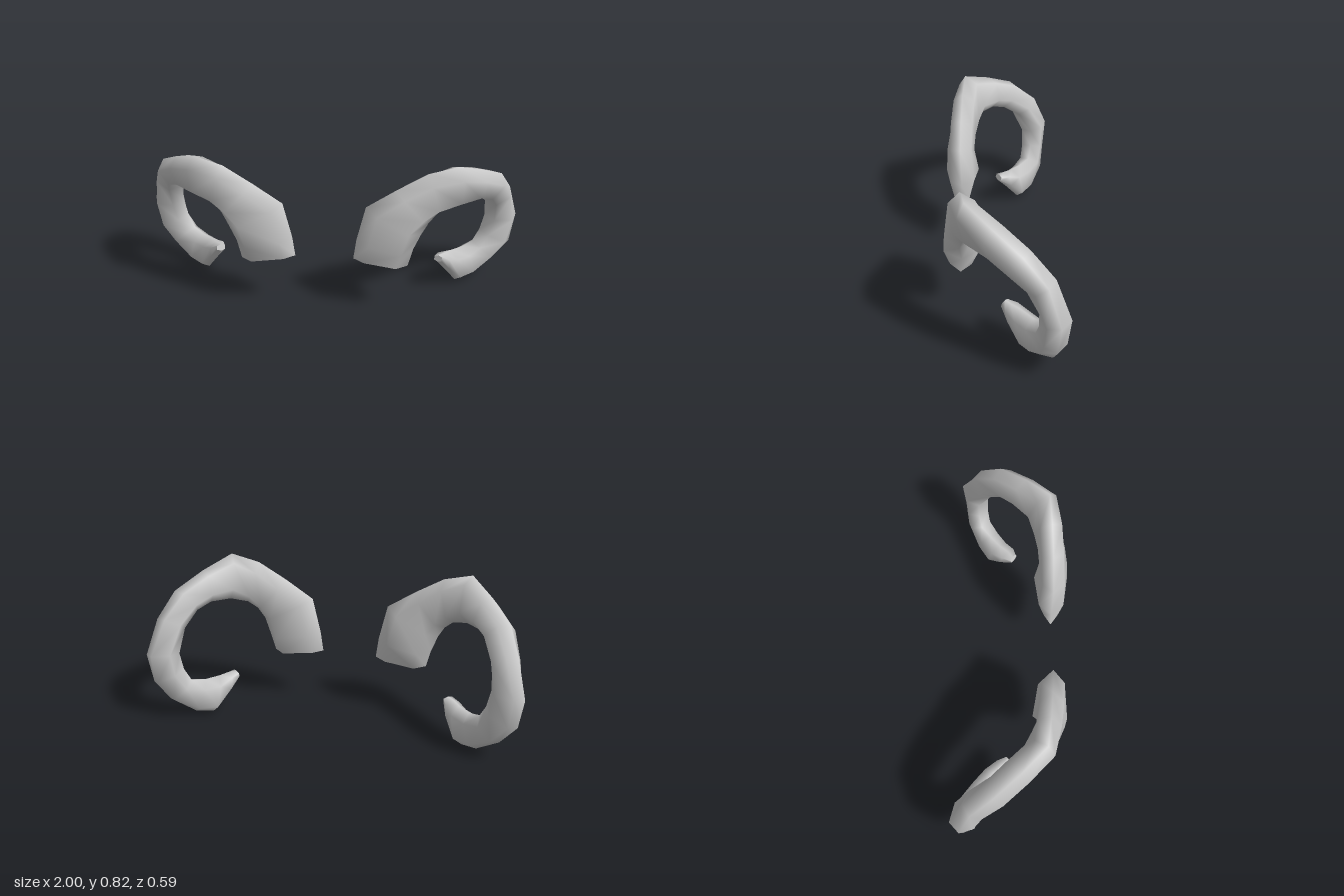
import * as THREE from 'three';

// Cross-sections from base to tip: outer ridge, inner ridge, half thickness
const SECTIONS = [
  [[0.15, 0.29, 0.205], [0.43, 0.265, 0.208], 0.055],
  [[0.165, 0.40, 0.205], [0.455, 0.36, 0.20], 0.09],
  [[0.21, 0.59, 0.21], [0.49, 0.45, 0.21], 0.075],
  [[0.36, 0.69, 0.205], [0.525, 0.51, 0.195], 0.072],
  [[0.51, 0.78, 0.195], [0.57, 0.555, 0.165], 0.07],
  [[0.66, 0.82, 0.18], [0.65, 0.585, 0.11], 0.068],
  [[0.78, 0.755, 0.055], [0.73, 0.59, 0.025], 0.068],
  [[0.89, 0.675, -0.08], [0.785, 0.56, -0.04], 0.066],
  [[0.95, 0.55, -0.19], [0.82, 0.49, -0.135], 0.062],
  [[1.0, 0.36, -0.25], [0.83, 0.37, -0.205], 0.062],
  [[0.975, 0.20, -0.237], [0.81, 0.28, -0.205], 0.056],
  [[0.89, 0.10, -0.225], [0.775, 0.21, -0.19], 0.056],
  [[0.77, 0.015, -0.17], [0.72, 0.20, -0.14], 0.056],
  [[0.69, 0.0, -0.12], [0.66, 0.205, -0.085], 0.054],
  [[0.625, 0.105, -0.055], [0.62, 0.21, -0.035], 0.045],
  [[0.588, 0.175, 0.0], [0.59, 0.21, -0.01], 0.024],
];
// Six-sided profile: along the width, along the thickness
const PROFILE = [[1, 0], [0.58, 1], [-0.58, 1], [-1, 0], [-0.58, -1], [0.58, -1]];

function hornRings(side) {
  const outer = SECTIONS.map((s) => new THREE.Vector3(...s[0]));
  const inner = SECTIONS.map((s) => new THREE.Vector3(...s[1]));
  const centres = outer.map((o, i) => o.clone().add(inner[i]).multiplyScalar(0.5));
  const last = centres.length - 1;
  return centres.map((c, i) => {
    const tangent = centres[Math.min(i + 1, last)].clone().sub(centres[Math.max(i - 1, 0)]);
    const half = outer[i].clone().sub(c);
    const across = tangent.cross(half).normalize().multiplyScalar(SECTIONS[i][2]);
    // The outer edge is thinner near the base
    const outerThickness = Math.min(1, 0.7 + i * 0.04);
    return PROFILE.map(([u, v]) => {
      const thickness = u > 0 ? v * outerThickness : v;
      const p = c.clone().addScaledVector(half, u).addScaledVector(across, thickness);
      p.x *= side;
      return p;
    });
  });
}

function makeGeometry(points, triangles, side) {
  const geometry = new THREE.BufferGeometry().setFromPoints(points);
  // The mirrored horn needs its corner order turned round
  geometry.setIndex(triangles.flatMap(([a, b, c]) => (side > 0 ? [a, b, c] : [a, c, b])));
  geometry.computeVertexNormals();
  return geometry;
}

function createHorn(side, name, material) {
  const horn = new THREE.Group();
  horn.name = name;
  const rings = hornRings(side);
  const n = PROFILE.length;

  // Curled body, open at the base
  const triangles = [];
  for (let i = 0; i < rings.length - 1; i++) {
    for (let j = 0; j < n; j++) {
      const a = i * n + j;
      const b = i * n + ((j + 1) % n);
      triangles.push([a, b, b + n], [a, b + n, a + n]);
    }
  }
  const body = new THREE.Mesh(makeGeometry(rings.flat(), triangles, side), material);
  body.name = 'hornBody';

  // Flat end of the blunt tip
  const fan = [];
  for (let j = 1; j < n - 1; j++) fan.push([0, j, j + 1]);
  const tip = new THREE.Mesh(makeGeometry(rings[rings.length - 1], fan, side), material);
  tip.name = 'hornTip';
  horn.add(body, tip);
  return horn;
}

export function createModel() {
  const model = new THREE.Group();
  model.name = 'curledHorns';
  const material = new THREE.MeshStandardMaterial({ color: 0xcccccc, side: THREE.DoubleSide });
  model.add(createHorn(1, 'leftHorn', material), createHorn(-1, 'rightHorn', material));
  return model;
}
